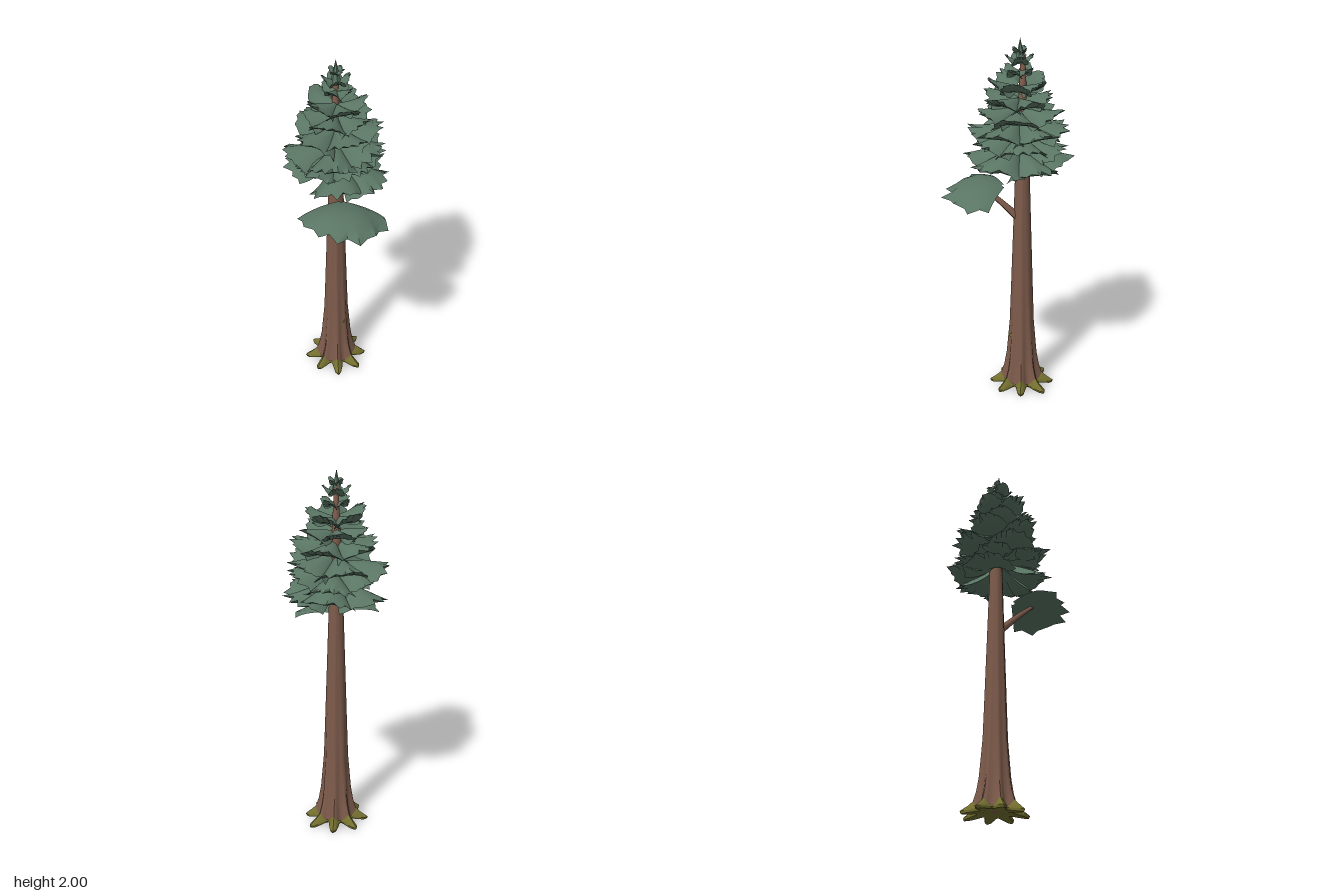
import * as THREE from 'three';
import { mergeGeometries, mergeVertices, toCreasedNormals } from 'three/addons/utils/BufferGeometryUtils.js';

const needleGreen = new THREE.MeshStandardMaterial({ color: 0x5a7564, name: 'needle green' });
const barkBrown = new THREE.MeshStandardMaterial({ color: 0x7d5b4b, name: 'bark brown' });
const mossGreen = new THREE.MeshStandardMaterial({ color: 0x74702f, name: 'moss green' });

let seed = 11;
const rnd = (lo, hi) => {
  seed = (seed * 16807) % 2147483647;
  return lo + (hi - lo) * (seed / 2147483647);
};

// Grid surface from point(row, column); flip turns it over
function surface(rows, cols, point, flip = false) {
  const pos = [], index = [];
  for (let i = 0; i <= rows; i++) for (let j = 0; j <= cols; j++) pos.push(...point(i, j));
  for (let i = 0; i < rows; i++) {
    for (let j = 0; j < cols; j++) {
      const a = i * (cols + 1) + j, b = a + cols + 1;
      if (flip) index.push(a, a + 1, b, a + 1, b + 1, b);
      else index.push(a, b, a + 1, a + 1, b, b + 1);
    }
  }
  const g = new THREE.BufferGeometry();
  g.setAttribute('position', new THREE.Float32BufferAttribute(pos, 3));
  g.setIndex(index);
  return g;
}

function part(name, geometry, material, parent) {
  const m = new THREE.Mesh(geometry, material);
  m.name = name;
  parent.add(m);
  return m;
}

// Fan-shaped bough: arched shell with a ragged rim, growing along +z
function boughGeometry({ length, slope, curl, arch, spread, thick }) {
  const rows = 6, cols = 14;
  const teeth = [], lift = [];
  for (let j = 0; j <= cols; j++) {
    teeth.push(j % 2 ? rnd(0.84, 0.96) : rnd(0.92, 1.07));
    lift.push(rnd(-0.04, 0.04));
  }
  const point = (under) => (i, j) => {
    const t = 0.06 + 0.94 * (i / rows), s = (j / cols) * 2 - 1;
    const rim = Math.pow(t, 5);
    const r = length * t * (1 - 0.22 * s * s) * (1 + (teeth[j] - 1) * rim);
    let y = slope * t + curl * t * t - arch * s * s * t + lift[j] * rim;
    y += thick * Math.sin(Math.PI * t) * (1 - s * s) * (under ? -0.4 : 0.6);
    return [Math.sin(s * spread) * r, y * length, Math.cos(s * spread) * r];
  };
  const g = mergeGeometries([surface(rows, cols, point(false)), surface(rows, cols, point(true), true)]);
  return toCreasedNormals(g, 0.6);
}

// Trunk profile from top to bottom: height, radius, flute depth
const trunkProfile = [
  [1.93, 0, 0], [1.9, 0.012, 0], [1.4, 0.034, 0.04], [1, 0.046, 0.06], [0.6, 0.058, 0.08], [0.4, 0.064, 0.1],
  [0.2, 0.078, 0.16], [0.12, 0.088, 0.22], [0.05, 0.105, 0.28], [0.02, 0.112, 0.3], [0.02, 0, 0],
];
const SIDES = 64, TOES = 8;
const toe = (angle) => Math.pow(0.5 + 0.5 * Math.cos(angle * TOES), 1.3);

function lathed(rows, point) {
  const g = surface(rows, SIDES, (i, j) => {
    const a = ((j % SIDES) / SIDES) * Math.PI * 2;
    const [r, y] = point(i, a, j);
    return [Math.sin(a) * r, y, Math.cos(a) * r];
  });
  return toCreasedNormals(mergeVertices(g), 0.7);
}

export function createModel() {
  const model = new THREE.Group();
  model.name = 'conifer';
  const tree = new THREE.Group();
  tree.name = 'tree';
  tree.position.set(-0.052, 0, -0.036);
  model.add(tree);

  // Fluted trunk
  part('trunk', lathed(trunkProfile.length - 1, (i, a) => {
    const [y, r, f] = trunkProfile[i];
    return [r * (1 + f * (toe(a) - 0.5)), y];
  }), barkBrown, tree);

  // Mossy root toes, arched and pointed, hollow beneath
  const reach = Array.from({ length: TOES }, () => rnd(0.075, 0.095));
  part('mossyRoots', lathed(4, (i, a, j) => {
    const k = toe(a);
    const len = reach[Math.round((j / SIDES) * TOES) % TOES];
    return [
      [0.08 + 0.022 * k, 0.035 + 0.045 * k],
      [0.095 + 0.042 * k, 0.03 + 0.016 * k],
      [0.097 + len * k, 0.024 - 0.01 * k],
      [0.09 + len * k, 0.014 - 0.014 * k],
      [0, 0.022],
    ][i];
  }), mossGreen, tree);

  // Small moss patch on the trunk
  const patch = part('mossPatch', new THREE.CircleGeometry(0.014, 7), mossGreen, tree);
  patch.position.set(0.0755, 0.325, 0.01);
  patch.rotation.y = Math.PI / 2;

  function addBough(name, parent, azimuth, y, options) {
    const m = part(name, boughGeometry(options), needleGreen, parent);
    m.rotation.order = 'YXZ';
    m.rotation.y = azimuth;
    m.position.y = y;
    return m;
  }

  // Crown whorls: height, length, slope, curl, arch, first azimuth (degrees), count, step (degrees)
  const whorls = [
    [1.93, 0.044, -0.2, 0.7, 0.6, 10, 4, 90],
    [1.88, 0.078, -0.2, 0.65, 0.6, 50, 4, 90],
    [1.825, 0.085, -0.3, 0.6, 0.6, 15, 4, 90],
    [1.765, 0.16, -0.35, 0.6, 0.45, 55, 5, 72],
    [1.69, 0.185, -0.4, 0.5, 0.4, 20, 5, 72],
    [1.62, 0.235, -0.45, 0.45, 0.34, 60, 5, 72],
    [1.545, 0.275, -0.5, 0.42, 0.28, 30, 5, 72],
    [1.485, 0.24, -0.45, 0.3, 0.25, 0, 5, 72],
    [1.43, 0.28, -0.65, 0.42, 0.22, 48, 5, 57],
  ];
  const crown = new THREE.Group();
  crown.name = 'crown';
  crown.position.set(0.015, 0, 0.01);
  tree.add(crown);
  whorls.forEach(([y, length, slope, curl, arch, first, count, step], w) => {
    for (let k = 0; k < count; k++) {
      const az = THREE.MathUtils.degToRad(first + k * step + rnd(-6, 6));
      addBough(`bough${w + 1}_${k + 1}`, crown, az, y + rnd(-0.09, 0.09) * length, {
        length: length * rnd(0.92, 1.06), slope, curl, arch, spread: 0.8, thick: 0.22,
      });
    }
  });

  // Pointed leader at the top
  const leader = part('leader', toCreasedNormals(new THREE.ConeGeometry(0.028, 0.13, 6), 0.5), needleGreen, crown);
  leader.position.set(-0.005, 1.935, 0);

  // Lone lower branch with its spray
  const limb = new THREE.CatmullRomCurve3([
    new THREE.Vector3(-0.04, 1.01, -0.035), new THREE.Vector3(-0.005, 1.06, 0),
    new THREE.Vector3(0.05, 1.13, 0.05), new THREE.Vector3(0.11, 1.2, 0.11),
  ]);
  const limbGeometry = new THREE.TubeGeometry(limb, 8, 0.016, 7);
  const p = limbGeometry.attributes.position;
  for (let i = 0; i < p.count; i++) {
    const ring = Math.floor(i / 8) / 8, c = limb.getPointAt(ring);
    const v = new THREE.Vector3().fromBufferAttribute(p, i).sub(c).multiplyScalar(1.4 - 0.8 * ring).add(c);
    p.setXYZ(i, v.x, v.y, v.z);
  }
  limbGeometry.computeVertexNormals();
  part('lowerBranch', limbGeometry, barkBrown, model);

  const spray = addBough('lowerBough', model, THREE.MathUtils.degToRad(48), 1.205, {
    length: 0.325, slope: 0.06, curl: -0.16, arch: 0.02, spread: 1.2, thick: 0.17,
  });
  spray.position.x = 0.025;
  spray.position.z = 0.015;
  spray.rotation.z = -0.1;

  return model;
}
